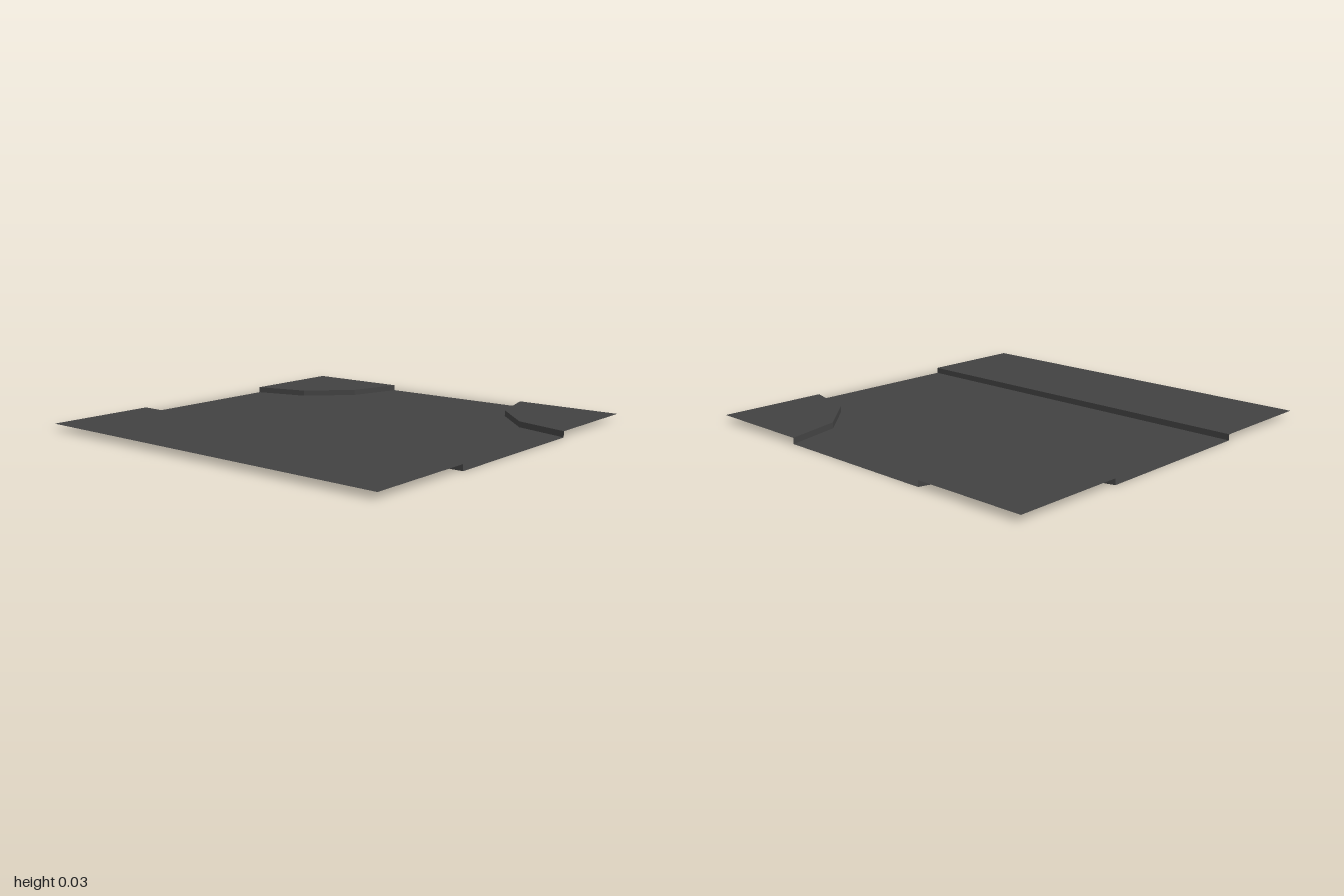
import * as THREE from 'three';

const CURB = 0.03;   // pavement height above the road
const EDGE = 0.43;   // distance of the kerbs from the centre line

export function createModel() {
  const group = new THREE.Group();
  group.name = 'roadJunctionTile';
  const asphalt = new THREE.MeshStandardMaterial({ color: 0x424242, side: THREE.DoubleSide });
  asphalt.name = 'dark grey asphalt';

  const add = (name, geometry) => {
    const mesh = new THREE.Mesh(geometry, asphalt);
    mesh.name = name;
    group.add(mesh);
  };

  // Flat, upward-facing sheet from [x, z] points at height y
  const sheet = (name, points, y) => {
    const shape = new THREE.Shape(points.map(([x, z]) => new THREE.Vector2(x, -z)));
    add(name, new THREE.ShapeGeometry(shape).rotateX(-Math.PI / 2).translate(0, y, 0));
  };

  // Upright kerb face along [x, z] points, facing the road
  const kerb = (name, points) => {
    const pos = [];
    for (let i = 0; i < points.length - 1; i++) {
      const [[ax, az], [bx, bz]] = [points[i], points[i + 1]];
      pos.push(ax, 0, az, bx, 0, bz, bx, CURB, bz);
      pos.push(ax, 0, az, bx, CURB, bz, ax, CURB, az);
    }
    const geometry = new THREE.BufferGeometry();
    geometry.setAttribute('position', new THREE.Float32BufferAttribute(pos, 3));
    geometry.computeVertexNormals();
    add(name, geometry);
  };

  // Quarter-round corner in three straight steps, and its mirror
  const leftCurve = [];
  for (let i = 0; i <= 3; i++) {
    const a = (i * Math.PI) / 6, r = 1 - EDGE;
    leftCurve.push([1 - r * Math.cos(a), -1 + r * Math.sin(a)]);
  }
  const rightCurve = leftCurve.map(([x, z]) => [-x, z]).reverse();

  // Road surface
  sheet('road', [...rightCurve, ...leftCurve, [1, EDGE], [-1, EDGE]], 0);

  // Corner pavements at the back
  sheet('leftCornerPavement', [...leftCurve, [1, -1]], CURB);
  kerb('leftCornerKerb', leftCurve);
  sheet('rightCornerPavement', [...rightCurve, [-1, -1]], CURB);
  kerb('rightCornerKerb', rightCurve);

  // Straight pavement along the front
  sheet('frontPavement', [[-1, EDGE], [1, EDGE], [1, 1], [-1, 1]], CURB);
  kerb('frontKerb', [[1, EDGE], [-1, EDGE]]);

  return group;
}
